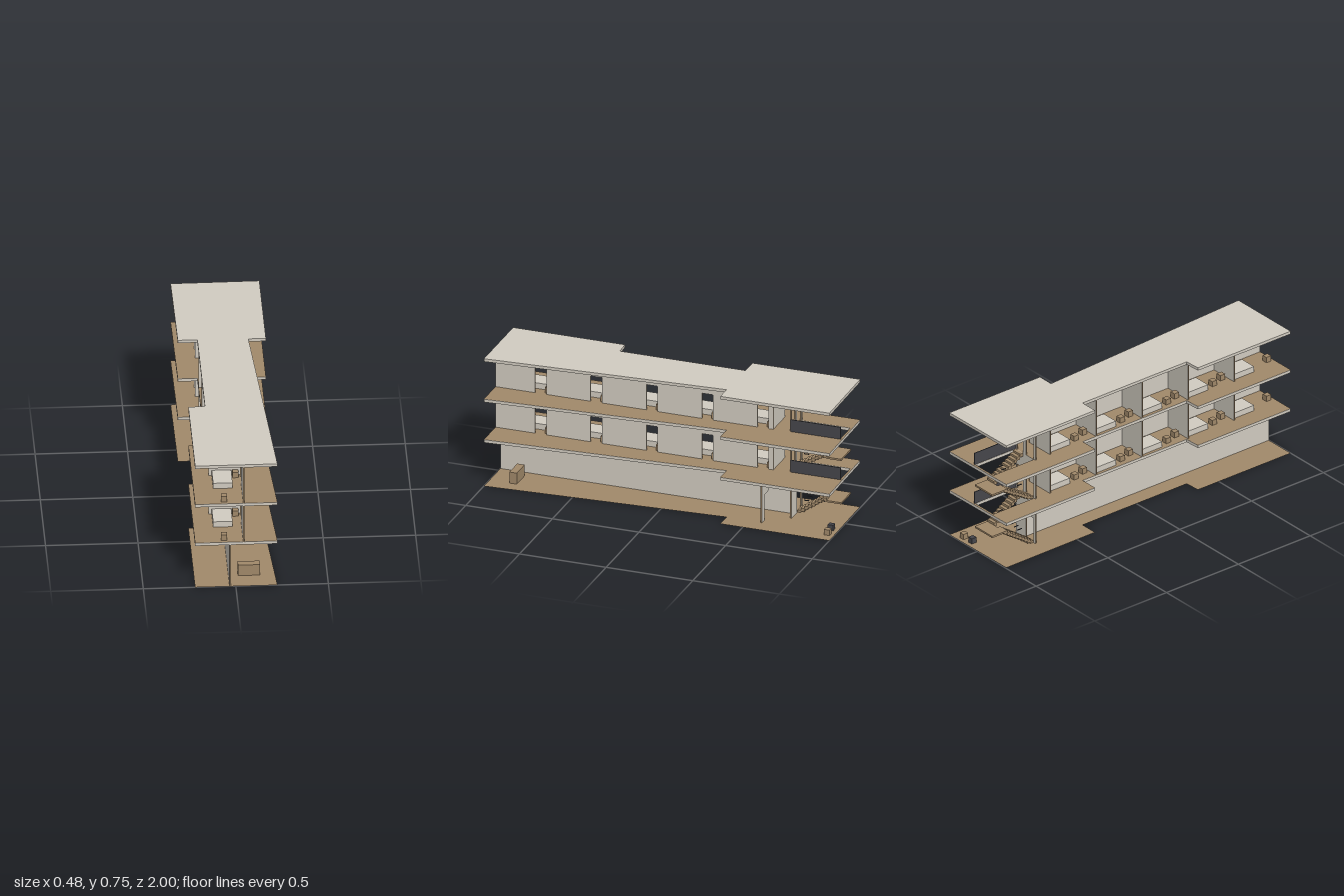
import * as THREE from 'three';

const mat = (name, color, extra = {}) => new THREE.MeshStandardMaterial({ name, color, ...extra });

export function createModel() {
  const concrete = mat('concrete', 0xd2ccc1);
  const wood = mat('wood', 0xa1896a);
  const floorFinish = mat('floor finish', 0xa1896a, { side: THREE.DoubleSide });
  const dark = mat('dark metal', 0x46464b);
  const model = new THREE.Group();
  model.name = 'building';

  const add = (name, geometry, material, parent = model) => {
    const mesh = new THREE.Mesh(geometry, material);
    mesh.name = name;
    parent.add(mesh);
    return mesh;
  };
  // Box given by its limits on each axis
  const box = (name, x0, x1, y0, y1, z0, z1, material, parent) => {
    const g = new THREE.BoxGeometry(x1 - x0, y1 - y0, z1 - z0);
    g.translate((x0 + x1) / 2, (y0 + y1) / 2, (z0 + z1) / 2);
    return add(name, g, material, parent);
  };

  const T = 0.008, SLAB = 0.017, CLEAR = 0.222, DOOR = 0.15;
  const floors = [0, 0.274, 0.513];
  const ceilings = [0.257, 0.496, 0.735];

  // Floor plan outline, drawn as (x, -z)
  const plan = (withStairwell) => {
    const pts = [
      [-0.22, 1], [0.225, 1], [0.145, -0.37], [0.24, -0.37], [0.24, -1],
      [-0.24, -0.995], [-0.236, -0.375], [-0.13, -0.375], [-0.13, 0.35], [-0.22, 0.355],
    ];
    const shape = new THREE.Shape(pts.map(([x, z]) => new THREE.Vector2(x, -z)));
    if (withStairwell) {
      shape.holes.push(new THREE.Path([[-0.118, 0.704], [-0.118, 0.985], [0.037, 0.985], [0.037, 0.704]]
        .map(([x, y]) => new THREE.Vector2(x, y))));
    }
    return shape;
  };
  const finish = (name, y, hole) =>
    add(name, new THREE.ShapeGeometry(plan(hole)).rotateX(-Math.PI / 2).translate(0, y, 0), floorFinish);

  // Slabs and floor finishes
  finish('groundFloor', 0, false);
  ceilings.forEach((y, i) => {
    const roof = i === 2;
    const g = new THREE.ExtrudeGeometry(plan(!roof), { depth: SLAB, bevelEnabled: false });
    g.rotateX(-Math.PI / 2).translate(0, y, 0);
    add(roof ? 'roofSlab' : 'floorSlab', g, concrete);
    if (!roof) finish('upperFloorFinish', y + SLAB + 0.001, true);
  });

  // Upright wall panel from a to b with doorways cut from its foot
  const panel = (a, b, height, doors = []) => {
    const pts = [];
    if (!doors.some(([d]) => d === a)) pts.push([a, 0]);
    doors.forEach(([d, e]) => pts.push([d, 0], [d, DOOR], [e, DOOR], [e, 0]));
    // A doorway flush with the start leaves only its lintel there
    if (doors.length && doors[0][0] === a) pts.shift();
    pts.push([b, 0], [b, height], [a, height]);
    const shape = new THREE.Shape(pts.map(([x, y]) => new THREE.Vector2(x, y)));
    return new THREE.ExtrudeGeometry(shape, { depth: T, bevelEnabled: false });
  };
  const faces = [concrete, wood];
  const crossWall = (name, x0, x1, y, z, height, doors, parent) =>
    add(name, panel(x0, x1, height, doors).translate(0, y, z), faces, parent);
  const longWall = (name, z0, z1, y, x, height, doors = []) => {
    const flipped = doors.map(([d, e]) => [-e, -d]).sort((p, q) => p[0] - q[0]);
    add(name, panel(-z1, -z0, height, flipped).rotateY(Math.PI / 2).translate(x, y, 0), faces);
  };

  // Ground floor walls and furniture
  longWall('groundSpineWall', -0.696, 1, 0, -0.034, 0.257);
  crossWall('groundStairWall', -0.13, 0.036, 0, -0.704, 0.257, [[-0.113, -0.05]]);
  crossWall('groundEntranceWall', 0.044, 0.148, 0, -0.576, 0.257, [[0.044, 0.108]]);
  box('receptionDesk', 0.018, 0.138, 0, 0.065, 0.843, 0.886, wood);
  box('outdoorSeat', 0.148, 0.178, 0, 0.032, -0.977, -0.945, wood);
  box('outdoorBin', 0.082, 0.112, 0, 0.032, -0.973, -0.941, dark);

  // Upper floors: corridor wall, five rooms, stair wall and railing
  const rooms = [0, 1, 2, 3, 4].map((i) => -0.599 + i * 0.3205);
  for (const level of [1, 2]) {
    const y = floors[level];
    longWall('corridorWall', -0.603, 1, y, 0.04, CLEAR, rooms.map((z) => [z + 0.024, z + 0.088]));
    crossWall('upperStairWall', -0.13, 0.036, y, -0.704, CLEAR, [[-0.113, -0.05], [-0.025, 0.028]]);
    box('stairwellRailing', 0.038, 0.042, y, y + 0.072, -0.99, -0.7, dark);
    rooms.forEach((z, i) => {
      const room = new THREE.Group();
      room.name = 'room';
      model.add(room);
      crossWall('partition', -0.13, 0.04, y, z - 0.004, CLEAR, [], room);
      box('bed', -0.113, -0.008, y, y + 0.034, z + 0.008, z + 0.15, concrete, room);
      box('nightstand', -0.002, 0.03, y, y + 0.034, z + 0.006, z + 0.038, wood, room);
      box('chair', -0.078, -0.046, y, y + 0.034, z + 0.265, z + 0.297, wood, room);
      if (i < 4) box('stool', -0.1, -0.068, y, y + 0.032, z + 0.19, z + 0.222, wood, room);
    });
  }

  // Two-flight stairs with a half landing and short rail bars
  const STEPS = 10, RUN = 0.02;
  for (const level of [0, 1]) {
    const y = floors[level];
    const rise = (floors[level + 1] - y) / (2 * STEPS);
    const mid = y + STEPS * rise;
    const stair = new THREE.Group();
    stair.name = 'staircase';
    model.add(stair);
    for (let i = 0; i < STEPS; i++) {
      const za = -0.704 - i * RUN, top = y + (i + 1) * rise;
      box('lowerStep', -0.113, -0.053, Math.max(y, top - 0.02), top, za - RUN, za, wood, stair);
      const zb = -0.904 + i * RUN, top2 = mid + (i + 1) * rise;
      box('upperStep', -0.025, 0.035, top2 - 0.02, top2, zb, zb + RUN, wood, stair);
    }
    box('landing', -0.113, 0.035, mid - 0.01, mid, -0.99, -0.904, wood, stair);
    for (let i = 0; i < 7; i++) {
      const yb = y + 0.073 + i * 0.027, zb = -0.74 - i * 0.022;
      box('railBar', -0.06, -0.055, yb, yb + 0.004, zb - 0.03, zb, dark, stair);
    }
  }
  return model;
}
